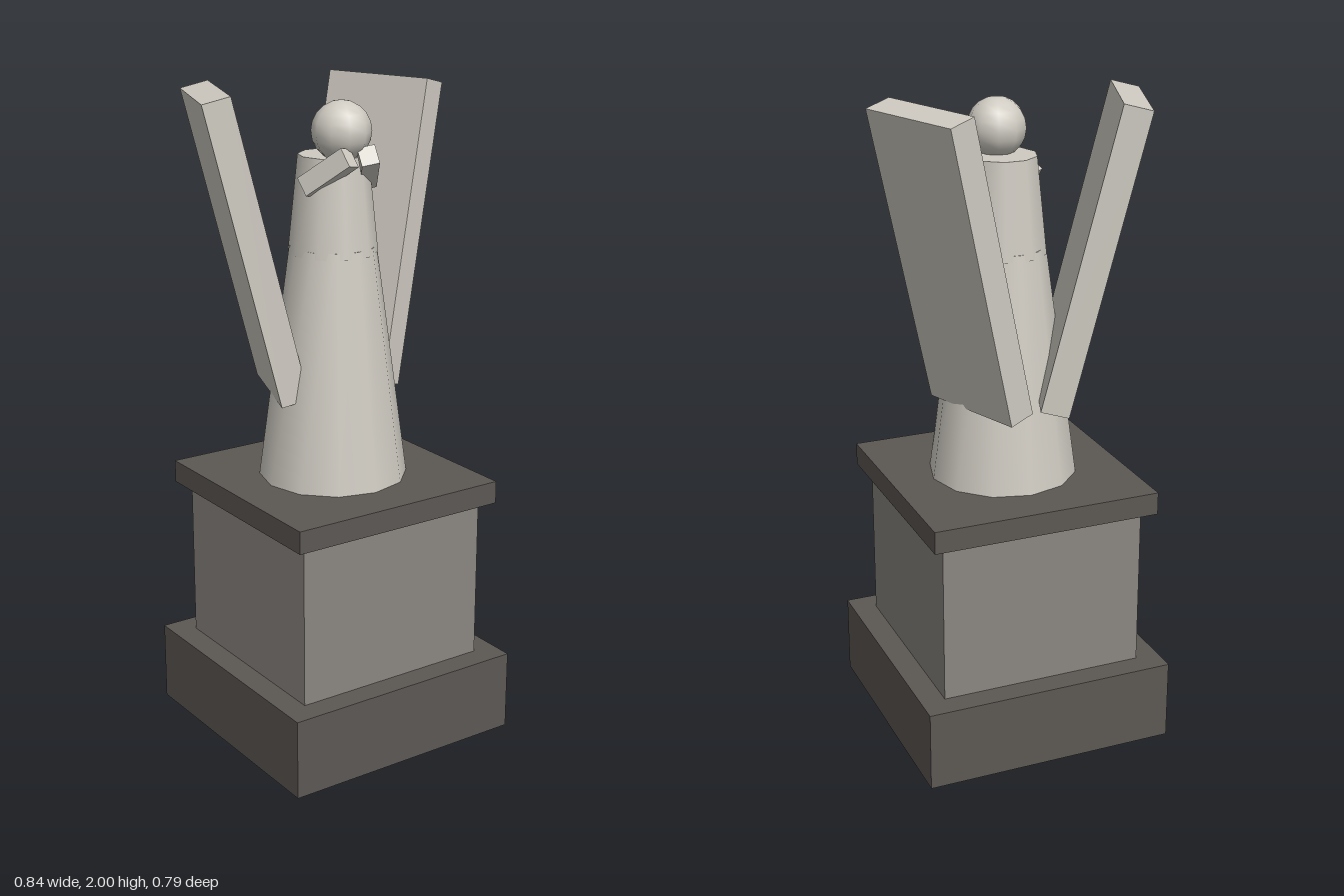
import * as THREE from 'three';

const marble = new THREE.MeshStandardMaterial({ color: 0xcfcbc2 });
const stone = new THREE.MeshStandardMaterial({ color: 0x8a8680 });
const darkStone = new THREE.MeshStandardMaterial({ color: 0x5c5854 });

export function createModel() {
  const group = new THREE.Group();

  const add = (name, geometry, material, x, y, z) => {
    const mesh = new THREE.Mesh(geometry, material);
    mesh.name = name;
    mesh.position.set(x, y, z);
    group.add(mesh);
    return mesh;
  };

  // Reflects a symmetric part to the other side of x = 0
  const mirror = (part, name) => {
    const { x, y, z } = part.position;
    const q = part.quaternion;
    const copy = add(name, part.geometry, part.material, -x, y, z);
    copy.quaternion.set(q.x, -q.y, -q.z, q.w);
  };

  // Stepped pedestal: width, bottom, top
  const slab = (name, width, bottom, top, material) =>
    add(name, new THREE.BoxGeometry(width, top - bottom, width), material, 0, (bottom + top) / 2, 0);
  slab('plinth', 0.79, 0, 0.25, darkStone);
  slab('pedestal', 0.64, 0.25, 0.755, stone);
  slab('pedestalCap', 0.715, 0.755, 0.825, darkStone);

  // Robed figure
  add('robe', new THREE.CylinderGeometry(0.13, 0.227, 0.715, 12), marble, 0, 1.1825, 0);
  const torso = add('torso', new THREE.CylinderGeometry(0.104, 0.134, 0.29, 10), marble, 0, 1.665, 0);
  torso.rotation.y = Math.PI / 10;
  add('head', new THREE.SphereGeometry(0.089, 10, 10), marble, 0, 1.882, 0.043);

  // Forearms rising forward and inward until the hands meet
  const along = new THREE.Vector3(-0.43, 0.57, 0.69).normalize();
  const across = new THREE.Vector3(0.047, 0.01, 0.022);
  const depth = across.clone().cross(along).normalize();
  across.crossVectors(along, depth);
  const arm = add('leftForearm', new THREE.BoxGeometry(0.053, 0.166, 0.06), marble, 0.0685, 1.772, 0.0745);
  arm.quaternion.setFromRotationMatrix(new THREE.Matrix4().makeBasis(across, along, depth));
  mirror(arm, 'rightForearm');

  // Slab wings leaning outward and swept back
  const wing = add('leftWing', new THREE.BoxGeometry(0.086, 0.927, 0.357), marble, 0.2165, 1.541, -0.1455);
  wing.rotation.set(0, 0.35, -0.24, 'YXZ');
  mirror(wing, 'rightWing');

  return group;
}
